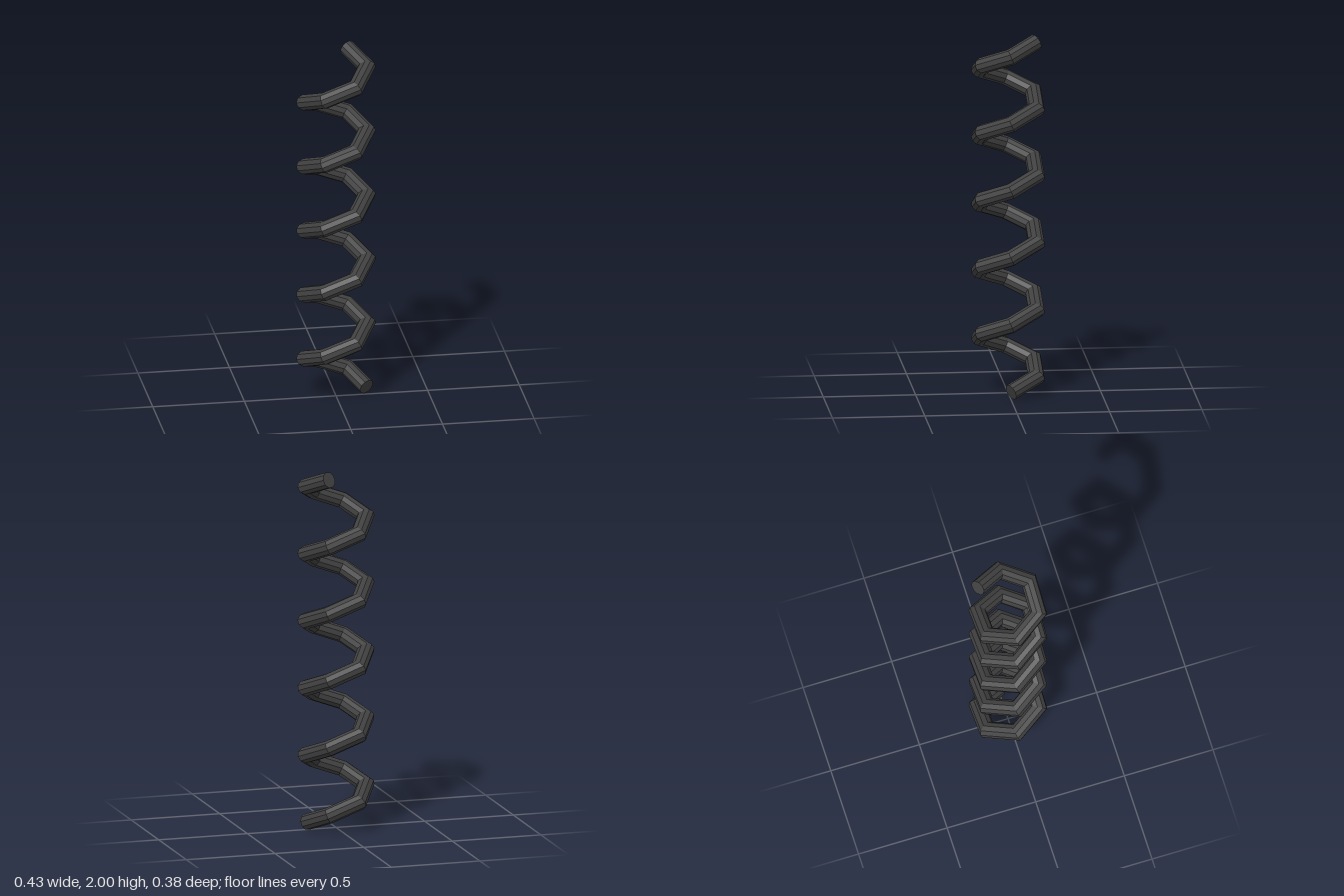
import * as THREE from 'three';

const RADIUS = 0.167;    // corner radius of the hexagonal coil
const TUBE = 0.0445;     // rod radius
const SIDES = 10;        // facets around the rod
const SEGMENTS = 31;     // straight pieces, six per turn
const Y0 = 0.042, RISE = (2 - 2 * Y0) / SEGMENTS;

// Corner points of the coil, climbing from the left side towards the back
function coilPoints() {
  const points = [];
  for (let i = 0; i <= SEGMENTS; i++) {
    const a = (i * Math.PI) / 3;
    points.push(new THREE.Vector3(RADIUS * Math.cos(a), Y0 + i * RISE, -RADIUS * Math.sin(a)));
  }
  return points;
}

// Straight rods joined by exact mitres, closed by square-cut ends
function mitredRod(points) {
  const last = points.length - 1;
  const dirs = points.slice(1).map((p, i) => p.clone().sub(points[i]).normalize());

  // First ring, square to the first piece
  const v = new THREE.Vector3().crossVectors(dirs[0], new THREE.Vector3(1, 0, 0)).normalize();
  const u = new THREE.Vector3().crossVectors(v, dirs[0]);
  const rings = [[]];
  for (let j = 0; j < SIDES; j++) {
    const t = (j / SIDES) * Math.PI * 2;
    rings[0].push(points[0].clone()
      .addScaledVector(u, TUBE * Math.cos(t))
      .addScaledVector(v, TUBE * Math.sin(t)));
  }

  // Slide each ring along its piece onto the next mitre plane
  for (let i = 1; i <= last; i++) {
    const d = dirs[i - 1];
    const normal = i < last ? d.clone().add(dirs[i]).normalize() : d;
    rings.push(rings[i - 1].map((p) => {
      const s = points[i].clone().sub(p).dot(normal) / d.dot(normal);
      return p.clone().addScaledVector(d, s);
    }));
  }

  const position = [...rings.flat(), points[0], points[last]].flatMap((p) => p.toArray());
  const index = [];
  const start = rings.length * SIDES, end = start + 1;
  for (let j = 0; j < SIDES; j++) {
    const k = (j + 1) % SIDES;
    for (let i = 0; i < last; i++) {
      const a = i * SIDES, b = a + SIDES;
      index.push(a + j, a + k, b + k, a + j, b + k, b + j);
    }
    index.push(start, k, j, end, last * SIDES + j, last * SIDES + k);
  }
  const geometry = new THREE.BufferGeometry();
  geometry.setAttribute('position', new THREE.Float32BufferAttribute(position, 3));
  geometry.setIndex(index);
  geometry.computeVertexNormals();
  return geometry;
}

export function createModel() {
  const group = new THREE.Group();
  group.name = 'spring';
  const material = new THREE.MeshStandardMaterial({ color: 0x404040, flatShading: true });
  const coil = new THREE.Mesh(mitredRod(coilPoints()), material);
  coil.name = 'coil';
  group.add(coil);
  return group;
}
